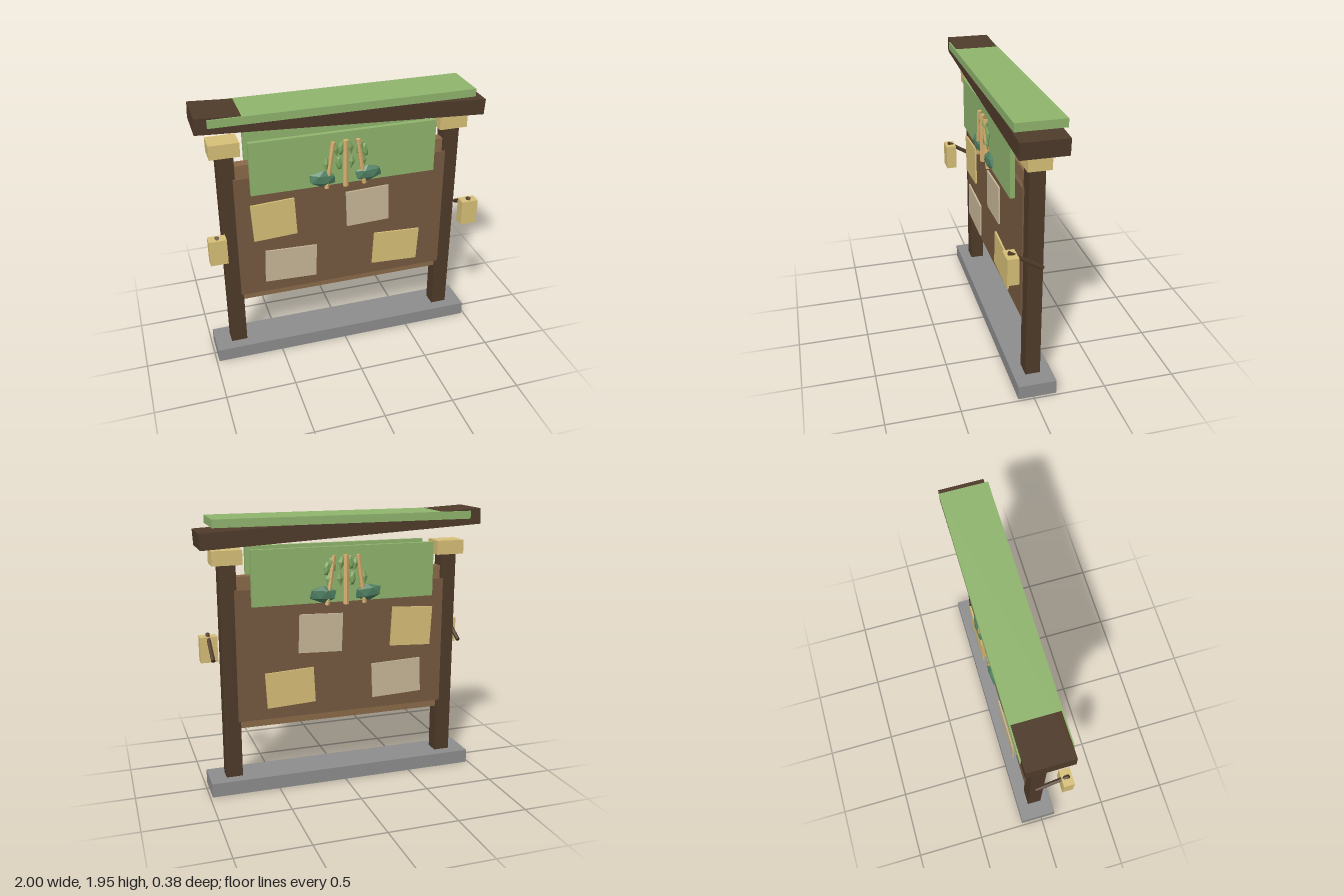
import * as THREE from 'three';

const MID = -0.027; // z of the board's middle plane

const mat = (color) => new THREE.MeshStandardMaterial({ color, flatShading: true });
const wood = mat(0x4f3b2a), panelWood = mat(0x765a40), railWood = mat(0x8a6a48);
const green = mat(0x90b56e), gold = mat(0xd8c078), paper = mat(0xc8b898);
const stone = mat(0x8e8e8e), cane = mat(0xd8b070), bush = mat(0x4f8062), leafGreen = mat(0x7ea860);

export function createModel() {
  const model = new THREE.Group();
  model.name = 'noticeBoard';

  const add = (name, geometry, material, x, y, z, rotZ = 0, parent = model) => {
    const mesh = new THREE.Mesh(geometry, material);
    mesh.name = name;
    mesh.position.set(x, y, z);
    mesh.rotation.z = rotZ;
    parent.add(mesh);
    return mesh;
  };
  const box = (name, w, h, d, material, x, y, z, rotZ, parent) =>
    add(name, new THREE.BoxGeometry(w, h, d), material, x, y, z, rotZ, parent);

  // Base, board and rails behind it
  box('base', 1.965, 0.1, 0.265, stone, 0, 0.05, MID);
  box('boardCore', 1.5, 1.08, 0.075, railWood, 0, 0.995, MID);
  box('boardPanel', 1.534, 0.935, 0.124, panelWood, 0, 0.978, MID);

  // Leaning roof beam with a level green slab set into it
  box('roofBeam', 1.997, 0.11, 0.31, wood, 0, 1.843, MID, -0.0524);
  box('roofSlab', 1.83, 0.055, 0.33, green, 0, 1.907, MID);

  // Posts, caps, and lanterns on slanted arms
  for (const s of [1, -1]) {
    const side = s > 0 ? 'left' : 'right';
    box(side + 'Post', 0.116, 1.52, 0.103, wood, s * 0.808, 0.86, MID);
    box(side + 'Cap', 0.206, 0.1, 0.155, gold, s * 0.81, 1.67, MID);
    box(side + 'Lantern', 0.122, 0.185, 0.077, gold, s * 0.922, 0.996, 0.151);
    const arm = add(side + 'LanternArm', new THREE.CylinderGeometry(0.015, 0.015, 0.264, 6),
      wood, s * 0.922, 1.031, 0.053);
    arm.rotation.x = 1.02;
  }

  // Pinned sheets: x, y, width, height, turn, material
  const sheets = [
    [-0.508, 1.117, 0.31, 0.284, 0.05, gold],
    [0.174, 1.117, 0.315, 0.275, 0.035, paper],
    [-0.398, 0.738, 0.375, 0.255, -0.04, paper],
    [0.398, 0.738, 0.35, 0.255, -0.052, gold],
  ];
  // Small leaves: x, y, turn
  const leaves = [
    [-0.135, 1.505, -0.1], [-0.048, 1.5, 0.1], [0.043, 1.5, -0.1], [0.137, 1.575, 0.2],
    [-0.07, 1.605, 0.15], [-0.033, 1.61, -0.15], [0.033, 1.61, 0.15], [0.1, 1.6, -0.2],
    [0.125, 1.5, 0.1],
  ];
  const leafGeometry = new THREE.OctahedronGeometry(1, 0).scale(0.025, 0.055, 0.012);
  const waist = new THREE.IcosahedronGeometry(1, 0).scale(0.025, 0.055, 0.014);
  const bushGeometry = new THREE.IcosahedronGeometry(1, 0).rotateZ(0.5).scale(0.108, 0.06, 0.027);

  // Header panel, plant relief and sheets on both faces
  for (const s of [1, -1]) {
    const face = new THREE.Group();
    face.name = s > 0 ? 'frontDisplay' : 'backDisplay';
    face.position.z = MID;
    model.add(face);

    box('headerPanel', 1.32, 0.385, 0.032, green, 0, 1.528, s * 0.097, 0, face);
    for (const [x, y, w, h, turn, m] of sheets)
      box('sheet', w, h, 0.012, m, x, y, s * 0.095, turn, face);

    add('middleStalk', new THREE.CylinderGeometry(0.02, 0.02, 0.345, 6), cane, 0, 1.492, s * 0.125, 0, face);
    for (const side of [1, -1]) {
      add('sideStalk', new THREE.CylinderGeometry(0.016, 0.016, 0.343, 6), cane,
        side * 0.112, 1.49, s * 0.125, side * 0.14, face);
      add('bush', bushGeometry, bush, side * 0.165, 1.395, s * 0.123, side * 0.08, face);
    }
    leaves.forEach(([x, y, turn], i) =>
      add('leaf', i % 2 ? waist : leafGeometry, leafGreen, x, y, s * 0.125, turn, face));
  }
  return model;
}
